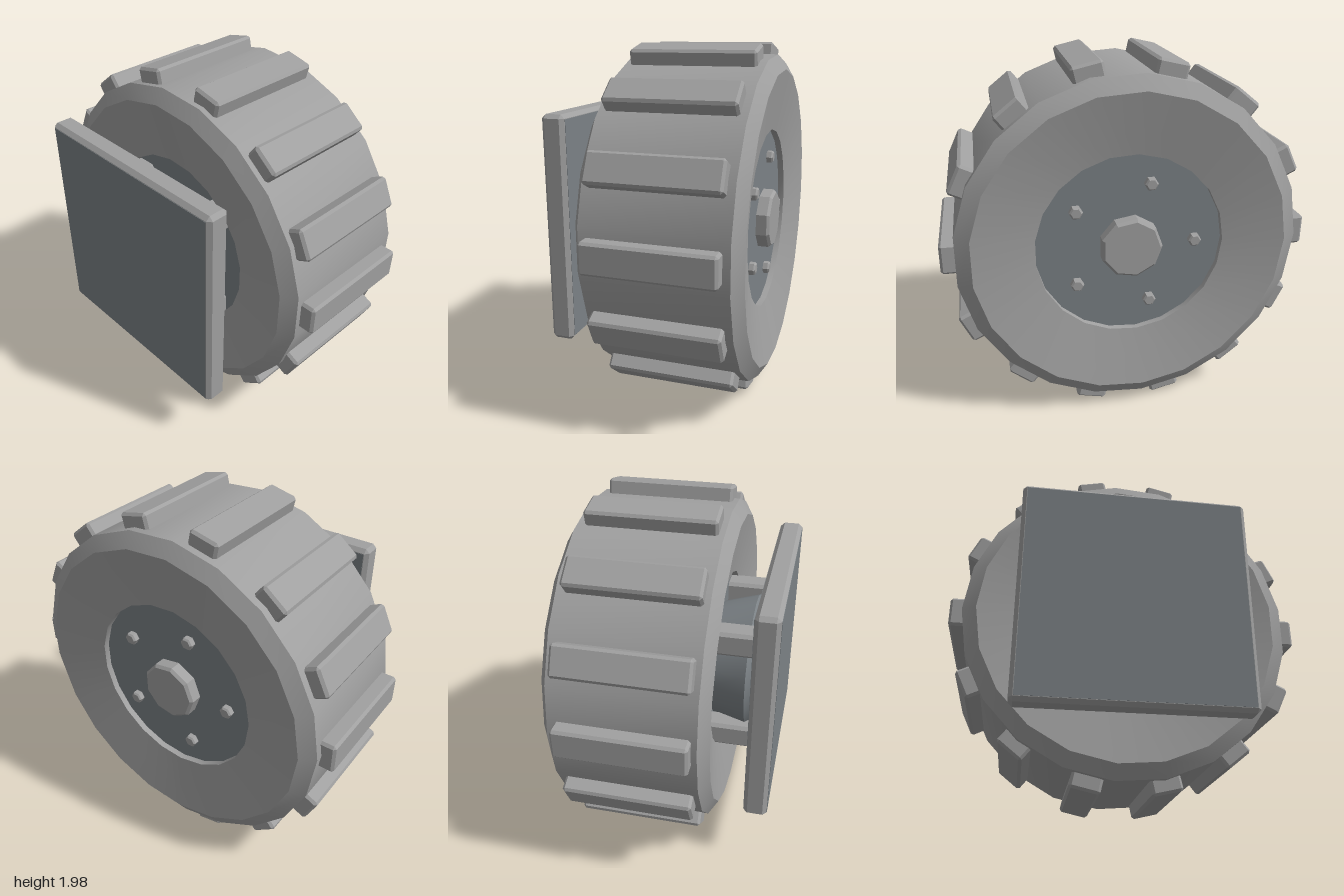
import * as THREE from 'three';
import { toCreasedNormals } from 'three/addons/utils/BufferGeometryUtils.js';
import { ConvexGeometry } from 'three/addons/geometries/ConvexGeometry.js';

const AXLE_Y = 0.992;

// Box with every edge chamfered by b
function chamferBox(sx, sy, sz, b) {
  const pts = [];
  for (const x of [-1, 1]) for (const y of [-1, 1]) for (const z of [-1, 1]) {
    const hx = sx / 2, hy = sy / 2, hz = sz / 2;
    pts.push(
      new THREE.Vector3(x * hx, y * (hy - b), z * (hz - b)),
      new THREE.Vector3(x * (hx - b), y * hy, z * (hz - b)),
      new THREE.Vector3(x * (hx - b), y * (hy - b), z * hz));
  }
  return new ConvexGeometry(pts);
}

// Profile of [radius, x] pairs turned about the x axis, first corner at -z
function turned(profile, sides) {
  const pts = profile.map(([r, x]) => new THREE.Vector2(r, x));
  const geo = new THREE.LatheGeometry(pts, sides, Math.PI);
  geo.rotateZ(-Math.PI / 2);
  return toCreasedNormals(geo, 0.5);
}

export function createModel() {
  const grey = new THREE.MeshStandardMaterial({ color: 0xa0a0a0 });
  grey.name = 'light grey';
  const steel = new THREE.MeshStandardMaterial({ color: 0x7b8185 });
  steel.name = 'steel grey';

  const model = new THREE.Group();
  model.name = 'wheelAssembly';
  const add = (name, geo, mat, parent = model) => {
    const mesh = new THREE.Mesh(geo, mat);
    mesh.name = name;
    parent.add(mesh);
    return mesh;
  };

  // Tyre with chamfered shoulders and dished sidewalls
  add('tyre', turned([
    [0.515, -0.18], [0.515, -0.23], [0.85, -0.29], [0.93, -0.24],
    [0.93, 0.53], [0.85, 0.58], [0.515, 0.515], [0.515, 0.47],
  ], 21), grey);

  // Hub disc filling the tyre opening on both sides
  add('hubDisc', turned([[0, -0.19], [0.515, -0.19], [0.515, 0.48], [0, 0.48]], 21), steel);

  // Tread blocks
  const treads = new THREE.Group();
  treads.name = 'treads';
  model.add(treads);
  const treadGeo = chamferBox(0.7, 0.17, 0.12, 0.014);
  for (let i = 0; i < 14; i++) {
    const a = (i / 14) * Math.PI * 2;
    const tread = add('tread', treadGeo, grey, treads);
    tread.position.set(0.14, 0.94 * Math.sin(a), 0.94 * Math.cos(a));
    tread.rotation.x = -a;
  }

  // Centre cap
  add('centreCap', turned([[0.17, 0.47], [0.17, 0.54], [0.155, 0.555], [0, 0.555]], 9), grey);

  // Ring of five bolts
  const boltGeo = turned([[0.037, 0.47], [0.037, 0.508], [0.028, 0.517], [0, 0.517]], 6);
  for (let i = 0; i < 5; i++) {
    const a = (i / 5) * Math.PI * 2;
    add('bolt', boltGeo, grey).position.set(0, 0.36 * Math.sin(a), -0.36 * Math.cos(a));
  }

  // Tapered drum behind the wheel
  add('axleDrum', turned([[0, -0.42], [0.365, -0.42], [0.39, -0.39], [0.33, -0.18]], 21), steel);

  // Four arms joining the drum to the mounting plate
  const armGeo = chamferBox(0.28, 0.14, 0.14, 0.018);
  for (const y of [-1, 1]) for (const z of [-1, 1]) {
    add('mountArm', armGeo, grey).position.set(-0.31, y * 0.302, z * 0.302);
  }

  // Square mounting plate with steel faces
  const plate = new THREE.Group();
  plate.name = 'mountingPlate';
  plate.position.x = -0.513;
  model.add(plate);
  add('plateBody', chamferBox(0.13, 1.27, 1.27, 0.022), grey, plate);
  for (const s of [-1, 1]) {
    add('plateFace', new THREE.BoxGeometry(0.004, 1.22, 1.22), steel, plate).position.x = s * 0.065;
  }

  for (const part of model.children) part.position.y += AXLE_Y;
  return model;
}
